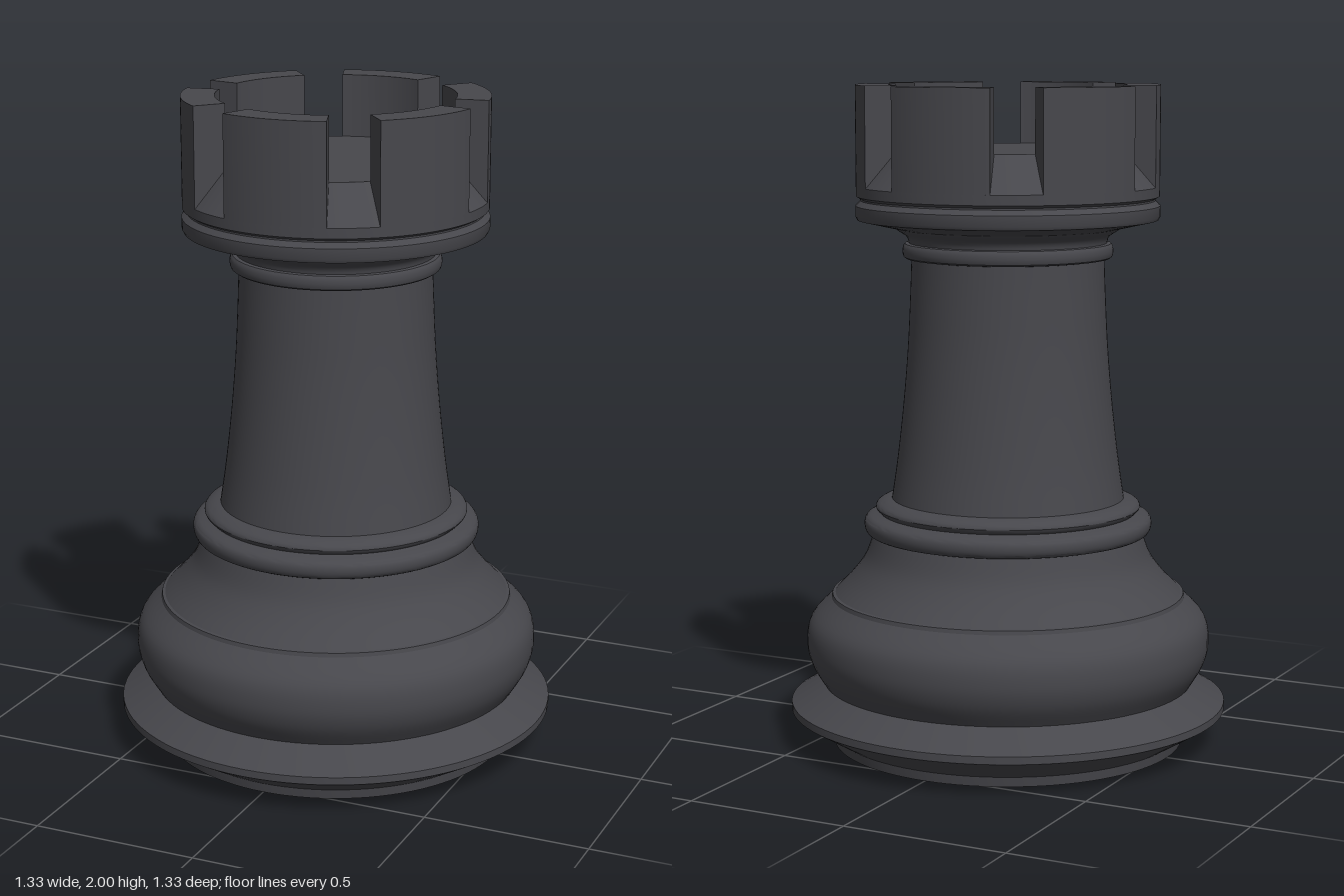
import * as THREE from 'three';
import { toCreasedNormals } from 'three/addons/utils/BufferGeometryUtils.js';

const SEGMENTS = 96;
const material = new THREE.MeshStandardMaterial({ color: 0x47474c });

function addMesh(parent, name, geometry) {
  const mesh = new THREE.Mesh(toCreasedNormals(geometry, 0.5), material);
  mesh.name = name;
  parent.add(mesh);
  return mesh;
}

// Turned part from [radius, height] pairs, listed bottom to top
function turned(parent, name, profile) {
  const points = profile.map(([r, y]) => new THREE.Vector2(r, y));
  return addMesh(parent, name, new THREE.LatheGeometry(points, SEGMENTS));
}

// Smooth run of profile points through a few guide points
function smooth(points, count) {
  const curve = new THREE.SplineCurve(points.map(([r, y]) => new THREE.Vector2(r, y)));
  return curve.getPoints(count).map((p) => [p.x, p.y]);
}

export function createModel() {
  const model = new THREE.Group();
  model.name = 'chessRook';

  // Foot with a sharp projecting rim
  turned(model, 'foot', [
    [0, 0], [0.535, 0], [0.54, 0.03], [0.665, 0.105], [0.665, 0.128], [0.565, 0.187],
  ]);

  // Rounded bulge, crease line and concave shoulder
  turned(model, 'bulge', [
    ...smooth([[0.565, 0.187], [0.602, 0.25], [0.616, 0.315], [0.602, 0.385], [0.54, 0.45]], 20),
    [0.537, 0.462],
    ...smooth([[0.528, 0.464], [0.475, 0.52], [0.436, 0.575], [0.41, 0.645]], 14),
  ]);

  // Double ring at the bottom of the column
  turned(model, 'lowerRings', [
    ...smooth([[0.41, 0.645], [0.43, 0.652], [0.438, 0.675], [0.43, 0.698], [0.395, 0.71]], 12),
    ...smooth([[0.39, 0.712], [0.402, 0.725], [0.398, 0.738], [0.375, 0.75], [0.352, 0.755]], 10),
  ]);

  // Tapering column
  turned(model, 'column', smooth(
    [[0.354, 0.75], [0.335, 0.88], [0.316, 1.05], [0.302, 1.22], [0.294, 1.38], [0.29, 1.49]], 24));

  // Thin collar and flared neck
  turned(model, 'collar', [
    ...smooth([[0.288, 1.482], [0.311, 1.486], [0.317, 1.505], [0.312, 1.526], [0.298, 1.53]], 10),
    ...smooth([[0.298, 1.53], [0.305, 1.55], [0.335, 1.57], [0.345, 1.582]], 8),
  ]);

  // Head: lower band, groove, sloping notch floors and flat top
  const inner = 0.355, outer = 0.455, floorY = 1.81, wallY = 1.7, topY = 2;
  turned(model, 'head', [
    [0.34, 1.575], [0.452, 1.6], [0.457, 1.61], [0.457, 1.642], [0.442, 1.657],
    [0.442, 1.662], [outer, 1.67], [outer, wallY], [inner, floorY], [0, floorY],
  ]);

  // Six battlements separated by radial notches
  const half = THREE.MathUtils.degToRad(20.5);
  const sector = new THREE.Shape();
  sector.absarc(0, 0, outer, -half, half, false);
  sector.absarc(0, 0, inner, half, -half, true);
  sector.closePath();
  const battlements = new THREE.Group();
  battlements.name = 'battlements';
  model.add(battlements);
  for (let i = 0; i < 6; i++) {
    const geometry = new THREE.ExtrudeGeometry(sector, {
      depth: topY - wallY, bevelEnabled: false, curveSegments: 14,
    });
    geometry.rotateX(-Math.PI / 2).translate(0, wallY, 0);
    addMesh(battlements, 'battlement', geometry).rotation.y = (i + 0.5) * Math.PI / 3;
  }

  return model;
}
